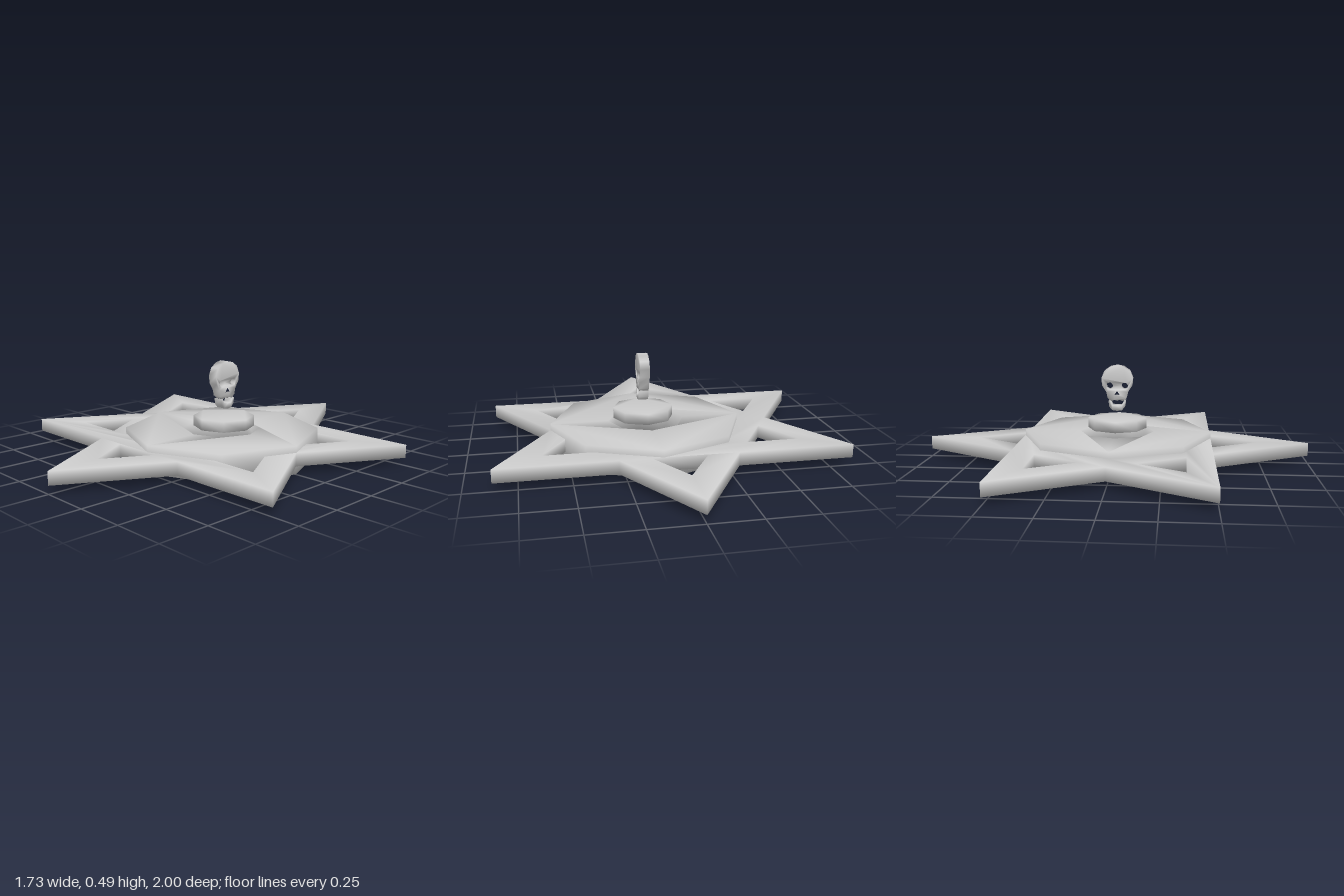
import * as THREE from 'three';
import { mergeVertices } from 'three/addons/utils/BufferGeometryUtils.js';

const material = new THREE.MeshStandardMaterial({ color: 0xcccccc });

// Points of a regular polygon, first corner at the given angle
const polygon = (n, r, start = 0, cx = 0, cy = 0) =>
  Array.from({ length: n }, (_, i) => {
    const a = start + (i / n) * Math.PI * 2;
    return new THREE.Vector2(cx + r * Math.cos(a), cy + r * Math.sin(a));
  });

// Right half of an outline, from top to bottom, mirrored into a closed one
const mirrored = (half) => [
  ...half,
  ...half.filter(([x]) => x > 0).reverse().map(([x, y]) => [-x, y]),
].map(([x, y]) => new THREE.Vector2(x, y));

// Plate cut from an outline with holes, with shared smooth normals
function plate(outline, holes, depth) {
  const shape = new THREE.Shape(outline);
  shape.holes = holes.map((h) => new THREE.Path(h));
  let g = new THREE.ExtrudeGeometry(shape, { depth, bevelEnabled: false });
  g.deleteAttribute('normal');
  g.deleteAttribute('uv');
  g = mergeVertices(g, 1e-5);
  g.computeVertexNormals();
  return g;
}

export function createModel() {
  const group = new THREE.Group();
  const add = (name, geometry, x, y) => {
    const mesh = new THREE.Mesh(geometry, material);
    mesh.name = name;
    mesh.position.set(x, y, 0);
    group.add(mesh);
  };
  const flat = (...args) => plate(...args).rotateX(-Math.PI / 2);
  const upright = (...args) => plate(...args).rotateY(Math.PI / 2);

  // Six-pointed star frame: a triangular opening in each tip, a hexagon inside
  const tips = polygon(6, 1, Math.PI / 2);
  const notches = polygon(6, 1 / Math.sqrt(3), (Math.PI * 2) / 3);
  const starOutline = tips.flatMap((p, i) => [p, notches[i]]);
  const inner = 0.735, base = 0.5;
  const openRadius = (inner - base) * 2 / 3;
  const starHoles = tips.map((p, i) => {
    const c = p.clone().multiplyScalar(inner - openRadius);
    return polygon(3, openRadius, Math.PI / 2 + (i * Math.PI) / 3, c.x, c.y);
  });
  starHoles.push(polygon(6, inner / Math.sqrt(3)));
  add('starFrame', flat(starOutline, starHoles, 0.067), 0, 0.04);

  // Octagonal ring and the small disc floating over its opening
  add('octagonRing', flat(polygon(8, 0.5), [polygon(8, 0.2)], 0.14), 0.077, 0);
  add('octagonDisc', flat(polygon(8, 0.157), [], 0.055), 0.092, 0.155);

  // Skull, facing sideways, with eye and nose openings
  const skull = mirrored([
    [0, 0.494], [0.035, 0.487], [0.068, 0.464], [0.084, 0.425], [0.08, 0.385],
    [0.058, 0.352], [0.05, 0.318], [0.03, 0.302], [0.014, 0.31], [0, 0.304],
  ]);
  const eye = (s) => polygon(7, 0.019, s > 0 ? 0.2 : Math.PI - 0.2, s * 0.04, 0.384);
  const nose = mirrored([[0, 0.357], [0.015, 0.335], [0, 0.339]]);
  add('skull', upright(skull, [eye(1), eye(-1), nose], 0.05), 0.068, 0);

  // Crescent jaw below
  const jaw = mirrored([
    [0, 0.277], [0.025, 0.28], [0.036, 0.303], [0.046, 0.303],
    [0.042, 0.272], [0.026, 0.253], [0, 0.249],
  ]);
  add('jaw', upright(jaw, [], 0.05), 0.07, 0);

  return group;
}
